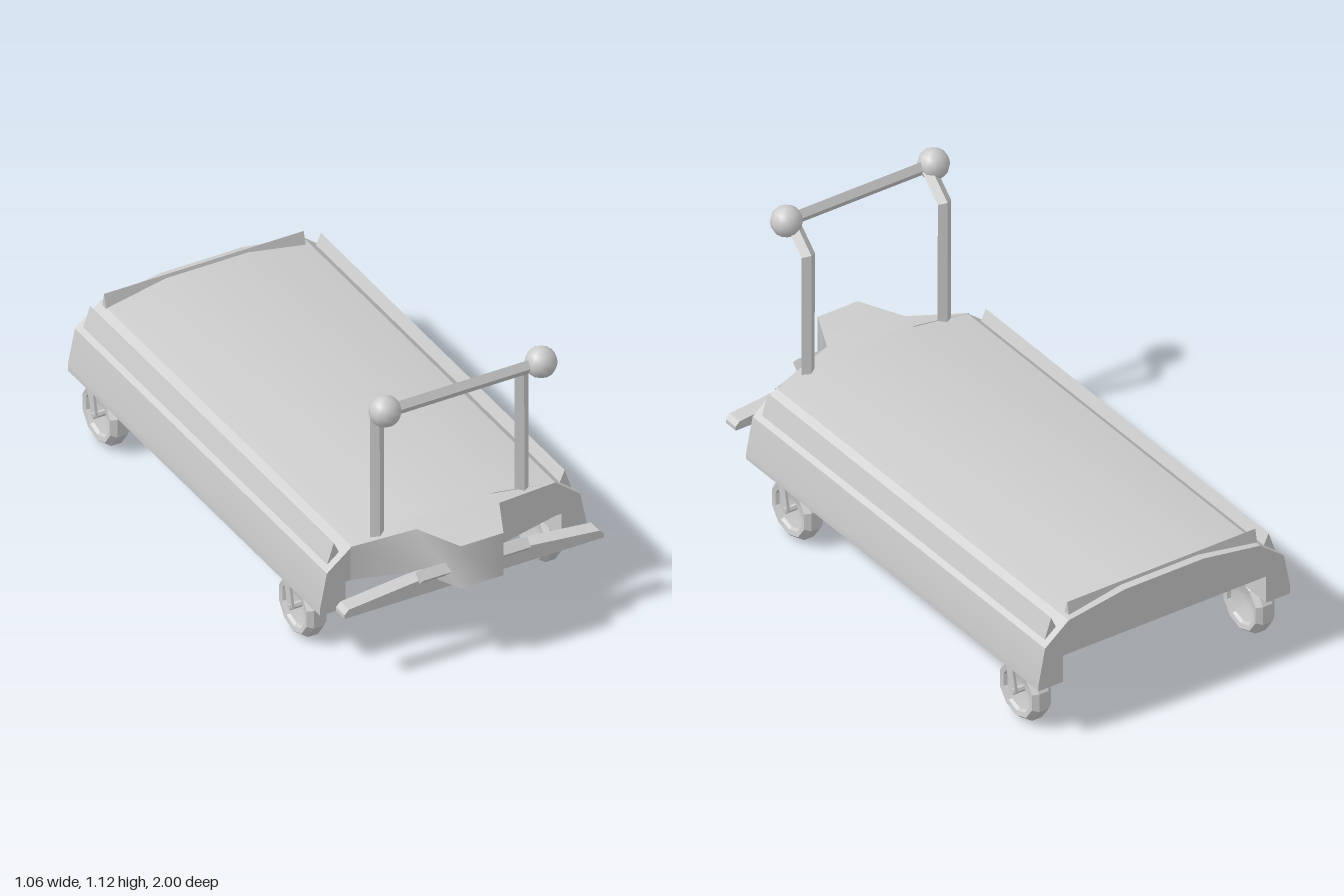
import * as THREE from 'three';
import { toCreasedNormals } from 'three/addons/utils/BufferGeometryUtils.js';

const CX = -0.02; // the nose and handle sit slightly off the centre line
const material = new THREE.MeshStandardMaterial({ color: 0xcccccc });

function add(parent, name, geometry, crease = 0.35) {
  const mesh = new THREE.Mesh(toCreasedNormals(geometry, crease), material);
  mesh.name = name;
  parent.add(mesh);
}

const shape = (points) => new THREE.Shape(points.map(([x, y]) => new THREE.Vector2(x, y)));

// Prism of an x,y outline between two z values
function prism(points, z0, z1) {
  const g = new THREE.ExtrudeGeometry(shape(points), { depth: z1 - z0, bevelEnabled: false });
  return g.translate(0, 0, z0);
}

// Outline closed by its own mirror image in x
const mirrored = (half) => [...half, ...half.map(([x, y]) => [-x, y]).reverse()];

// Apply a rule to every vertex
function bend(geometry, rule) {
  const p = geometry.attributes.position, v = new THREE.Vector3();
  for (let i = 0; i < p.count; i++) {
    rule(v.fromBufferAttribute(p, i));
    p.setXYZ(i, v.x, v.y, v.z);
  }
  return geometry;
}

// Diamond post with a mitred bend: each ring gets a y,z centre and a forward direction
function postGeometry(x) {
  const centres = [[0.46, 0.762], [0.965, 0.76], [1.06, 0.865]];
  const forward = [[0, 1], [-0.43, 0.98], [-0.74, 0.67]];
  return bend(new THREE.CylinderGeometry(1, 1, 2, 4, 2), (v) => {
    const i = Math.round(v.y) + 1, d = v.z * 0.02;
    v.set(x + v.x * 0.028, centres[i][0] + forward[i][0] * d, centres[i][1] + forward[i][1] * d);
  });
}

function wheel(side, z) {
  const group = new THREE.Group();
  // Tyre with a raised rim around a dished hub on both faces
  const half = [[0, 0.006], [0.03, 0.008], [0.078, 0.024], [0.084, 0.036], [0.102, 0.04], [0.119, 0.02]];
  const profile = [...half.map(([r, x]) => [r, -x]), ...half.reverse()];
  const tyre = new THREE.LatheGeometry(profile.map(([r, x]) => new THREE.Vector2(r, x)), 10);
  add(group, 'tyre', tyre.rotateZ(Math.PI / 2).rotateX(Math.PI / 2), 0.3);
  // Slanted strut on the outer face, with the axle pin
  const outline = [[0.012, 0.105], [0.06, 0.105], [0.012, -0.005], [-0.014, -0.005]];
  const strut = prism(outline.map(([a, b]) => [side * a, b]), 0, 0.01);
  add(group, 'strut', strut.rotateY(-Math.PI / 2).translate(side * 0.045 + 0.005, 0, 0));
  const pin = new THREE.CylinderGeometry(0.012, 0.012, 0.052, 6).rotateZ(Math.PI / 2);
  add(group, 'axlePin', pin.translate(side * 0.03, 0, 0));
  group.position.set(side * 0.473, 0.119, z);
  return group;
}

export function createModel() {
  const model = new THREE.Group();
  model.name = 'platformCart';

  // Platform: arched deck with side skirts, open underneath
  const body = mirrored([[0.43, 0.322], [0.43, 0.213], [0.532, 0.213], [0.532, 0.243],
    [0.505, 0.38], [0.405, 0.46], [0.165, 0.498]]);
  add(model, 'platform', prism(body, -1, 0.765));

  // Nose: plan outline raised to deck height, its wings sloping down to the sides
  const plan = mirrored([[0.165, -0.805], [0.41, -0.765], [0.165, -0.83], [0.085, -1]]);
  const nose = prism(plan, 0.322, 0.498).rotateX(-Math.PI / 2);
  add(model, 'nose', bend(nose, (v) => {
    if (Math.abs(v.x) > 0.3) v.y = Math.min(v.y, 0.46);
    else v.x += CX;
    if (Math.abs(v.z - 0.805) < 0.001) v.z = 0.76;
  }), 1.2);

  // Diamond bar through the nose
  const bar = new THREE.CylinderGeometry(0.028, 0.028, 0.428, 4).rotateZ(Math.PI / 2);
  add(model, 'noseBar', bar.translate(CX, 0.377, 0.938));

  // Bumper, thinning towards its ends
  add(model, 'bumper', prism(
    mirrored([[0.517, 0.279], [0.517, 0.295], [0.5, 0.312], [0.23, 0.34]]), 0.85, 0.91));

  // Pointed edge rails
  for (const side of [1, -1]) {
    const outline = [[0.435, 0.42], [0.49, 0.385], [0.46, 0.476]].map(([x, y]) => [side * x, y]);
    add(model, side > 0 ? 'leftRail' : 'rightRail', prism(outline, -0.972, 0.735));
  }

  // Pointed board across the back
  const board = prism([[0.979, 0.45], [0.966, 0.511], [0.947, 0.45]], -0.398, 0.398);
  add(model, 'backBoard', board.rotateY(Math.PI / 2).translate(-0.01, 0, 0));

  // Push handle: two bent posts, a cross bar and end balls
  const handle = new THREE.Group();
  handle.name = 'pushHandle';
  for (const side of [1, -1]) {
    const prefix = side > 0 ? 'left' : 'right';
    add(handle, prefix + 'Post', postGeometry(CX + 0.005 + side * 0.288), 0.1);
    add(handle, prefix + 'Ball', new THREE.SphereGeometry(0.058, 12, 8)
      .translate(CX + side * 0.311, 1.058, 0.866), 0.8);
  }
  const cross = new THREE.CylinderGeometry(0.028, 0.028, 0.62, 4).rotateZ(Math.PI / 2);
  add(handle, 'crossBar', cross.scale(1, 1, 0.6).translate(CX, 1.055, 0.868), 0.1);
  model.add(handle);

  // Wheels
  for (const side of [1, -1]) {
    for (const [end, z] of [['front', 0.54], ['rear', -0.835]]) {
      const w = wheel(side, z);
      w.name = end + (side > 0 ? 'Left' : 'Right') + 'Wheel';
      model.add(w);
    }
  }
  return model;
}
